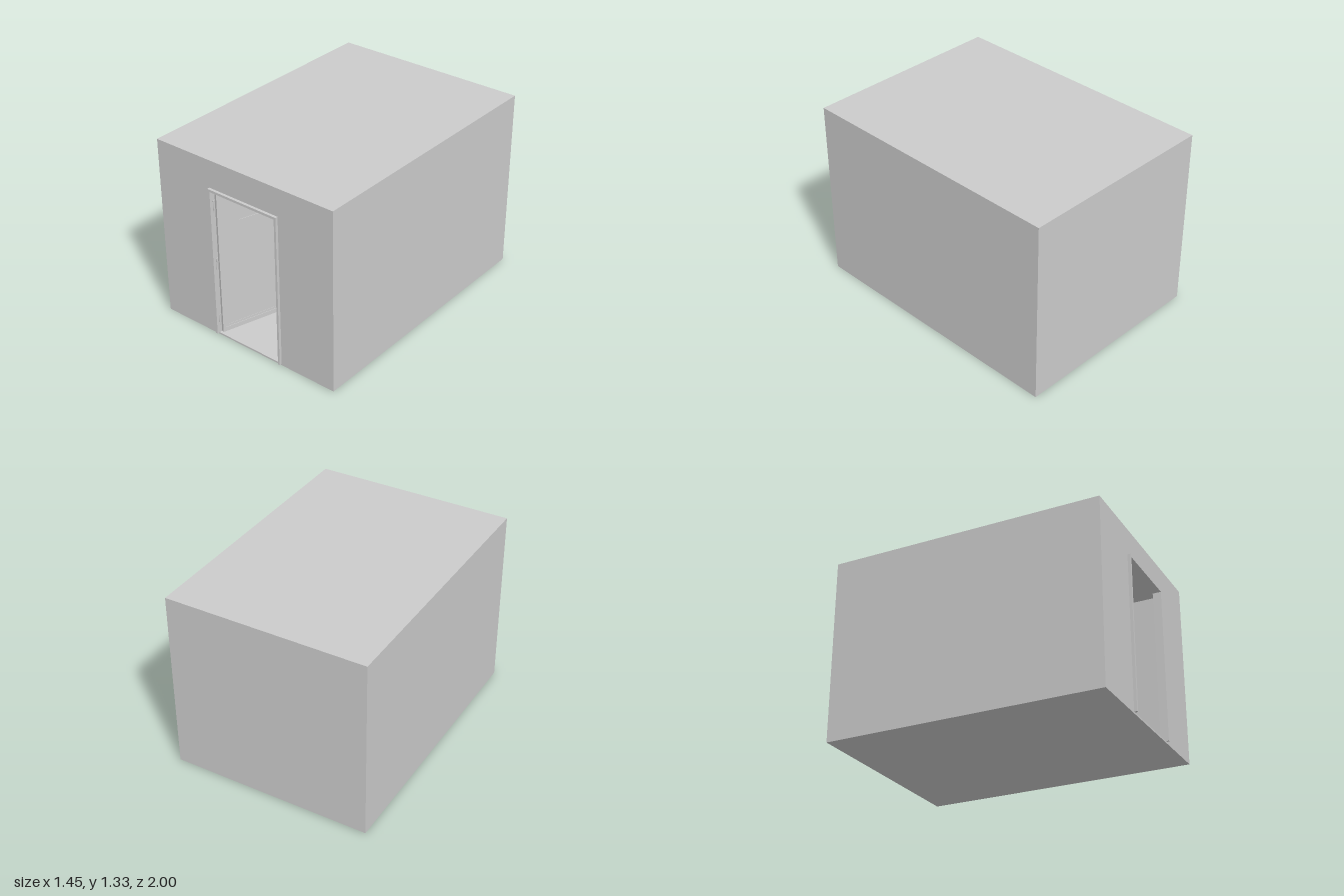
import * as THREE from 'three';

const grey = new THREE.MeshStandardMaterial({ color: 0xcccccc });

function add(parent, name, geometry, x = 0, y = 0, z = 0) {
  const mesh = new THREE.Mesh(geometry, grey);
  mesh.name = name;
  mesh.position.set(x, y, z);
  parent.add(mesh);
  return mesh;
}

// Box given by its minimum and maximum corners
function box(parent, name, [x0, y0, z0], [x1, y1, z1]) {
  const geometry = new THREE.BoxGeometry(x1 - x0, y1 - y0, z1 - z0);
  return add(parent, name, geometry, (x0 + x1) / 2, (y0 + y1) / 2, (z0 + z1) / 2);
}

function rect(path, x0, y0, x1, y1) {
  path.moveTo(x0, y0);
  path.lineTo(x1, y0);
  path.lineTo(x1, y1);
  path.lineTo(x0, y1);
  path.closePath();
  return path;
}

// Upright plate with one rectangular hole, extruded along +z
function plate(outer, hole, depth) {
  const shape = rect(new THREE.Shape(), ...outer);
  shape.holes.push(rect(new THREE.Path(), ...hole));
  return new THREE.ExtrudeGeometry(shape, { depth, bevelEnabled: false });
}

function createRoom() {
  const room = new THREE.Group();
  room.name = 'room';
  const w = 0.727, front = 0.98, back = -1, t = 0.03, floor = 0.012, ceiling = 1.31, top = 1.33;
  box(room, 'floor', [-w, 0, back], [w, floor, front]);
  box(room, 'roof', [-w, ceiling, back], [w, top, front]);
  box(room, 'backWall', [-w, floor, back], [w, ceiling, back + t]);
  for (const [name, x0, x1] of [['rightWall', -w, -w + t], ['leftWall', w - t, w]])
    box(room, name, [x0, floor, back + t], [x1, ceiling, front - t]);
  add(room, 'frontWall', plate([-w, floor, w, ceiling], [-0.27, floor + 0.0005, 0.287, 1.122], t), 0, 0, front - t);

  // Full-width shelves with a support rail below the upper two
  for (const y of [0.13, 0.567, 1.005]) {
    box(room, 'shelf', [-w + t, y - 0.012, back + t], [w - t, y + 0.012, -0.67]);
    if (y > 0.2) box(room, 'shelfRail', [-w + t, y - 0.07, back + t], [w - t, y - 0.012, back + t + 0.02]);
  }
  return room;
}

function createDoorFrame() {
  const frame = new THREE.Group();
  frame.name = 'doorFrame';
  const shape = new THREE.Shape();
  const outline = [[-0.278, 0.012], [-0.26, 0.012], [-0.26, 1.113], [0.278, 1.113],
    [0.278, 0.012], [0.293, 0.012], [0.293, 1.13], [-0.278, 1.13]];
  shape.setFromPoints(outline.map(p => new THREE.Vector2(...p)));
  add(frame, 'frameTrim', new THREE.ExtrudeGeometry(shape, { depth: 0.06, bevelEnabled: false }), 0, 0, 0.94);
  return frame;
}

// Hinged at x = 0 with its outer face at z = 0
function createDoor() {
  const door = new THREE.Group();
  door.name = 'door';
  const w = 0.525, y0 = 0.015, y1 = 1.11;
  add(door, 'doorRim', plate([0, y0, w, y1], [0.025, 0.048, w - 0.025, 1.09], 0.02), 0, 0, -0.02);
  add(door, 'panelBorder', plate([0.025, 0.048, w - 0.025, 1.09], [0.04, 0.065, w - 0.04, 1.075], 0.014), 0, 0, -0.017);
  const win = [0.165, 0.845, 0.345, 0.99];
  add(door, 'doorPanel', plate([0.04, 0.065, w - 0.04, 1.075], win, 0.01), 0, 0, -0.015);
  box(door, 'windowPane', [win[0], win[1], -0.012], [win[2], win[3], -0.009]);

  // Knob with rose on both faces
  const profile = [[0, 0], [0.016, 0], [0.016, 0.004], [0.007, 0.007], [0.007, 0.014],
    [0.014, 0.019], [0.017, 0.026], [0.014, 0.033], [0.007, 0.037], [0, 0.038]];
  const knob = new THREE.LatheGeometry(profile.map(p => new THREE.Vector2(...p)), 20);
  for (const side of [1, -1]) {
    const mesh = add(door, 'knob', knob, w - 0.05, 0.645, side > 0 ? -0.005 : -0.015);
    mesh.rotation.x = side * Math.PI / 2;
  }
  return door;
}

export function createModel() {
  const model = new THREE.Group();
  model.name = 'roomWithDoor';
  model.add(createRoom(), createDoorFrame());

  // Door swung into the room
  const door = createDoor();
  door.position.set(-0.238, 0, 0.965);
  door.rotation.y = THREE.MathUtils.degToRad(72.5);
  model.add(door);

  // Hinges on the right jamb
  for (const y of [0.115, 0.56, 0.995]) {
    add(model, 'hingePin', new THREE.CylinderGeometry(0.005, 0.005, 0.085, 10), -0.256, y, 0.972);
    box(model, 'hingeLeaf', [-0.26, y - 0.042, 0.945], [-0.257, y + 0.042, 0.972]);
  }
  return model;
}
